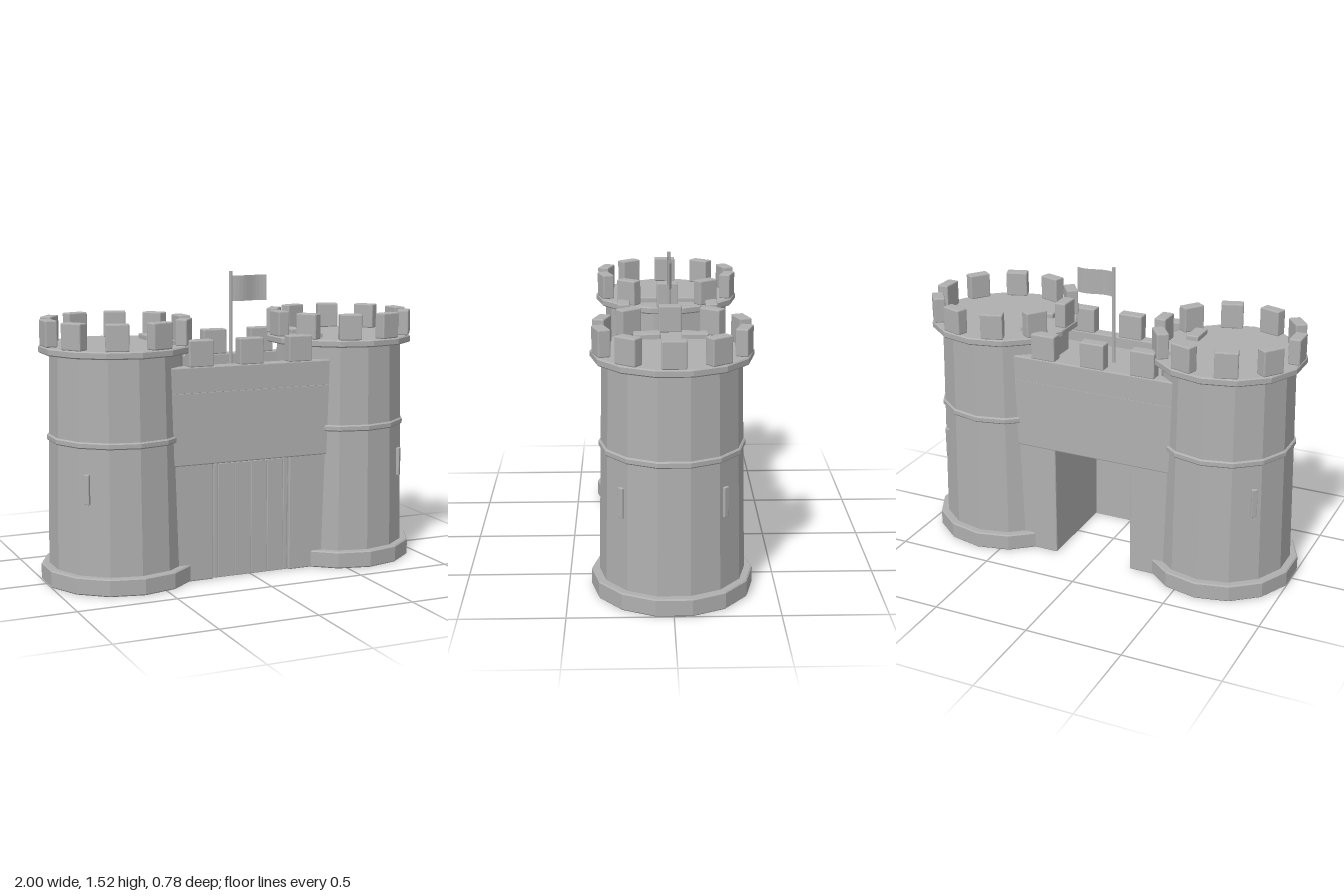
import * as THREE from 'three';
import { RoundedBoxGeometry } from 'three/addons/geometries/RoundedBoxGeometry.js';

const stone = new THREE.MeshStandardMaterial({ color: 0xb0b0b0, flatShading: true, side: THREE.DoubleSide });
stone.name = 'grey stone';

const SIDES = 14;

function add(parent, name, geometry, x = 0, y = 0, z = 0, turn = 0) {
  const mesh = new THREE.Mesh(geometry, stone);
  mesh.name = name;
  mesh.position.set(x, y, z);
  mesh.rotation.y = turn;
  parent.add(mesh);
  return mesh;
}

// box with small bevelled edges
const block = (w, h, d, bevel = 0.006) => new RoundedBoxGeometry(w, h, d, 1, bevel);

// block given by its limits on each axis
function span(parent, name, [x0, x1], [y0, y1], [z0, z1], bevel) {
  return add(parent, name, block(x1 - x0, y1 - y0, z1 - z0, bevel),
    (x0 + x1) / 2, (y0 + y1) / 2, (z0 + z1) / 2);
}

// faceted disc with bevelled rims
function ring(radius, y0, y1, bevel = 0.006) {
  const profile = [
    [0, y0], [radius - bevel, y0], [radius, y0 + bevel],
    [radius, y1 - bevel], [radius - bevel, y1], [0, y1],
  ].map(([r, y]) => new THREE.Vector2(r, y));
  return new THREE.LatheGeometry(profile, SIDES);
}

function makeTower(side) {
  const tower = new THREE.Group();
  tower.name = side > 0 ? 'leftTower' : 'rightTower';
  tower.position.x = side * 0.62;

  add(tower, 'towerBody', new THREE.CylinderGeometry(0.33, 0.353, 1.15, SIDES), 0, 0.575, 0);
  add(tower, 'towerBase', ring(0.39, 0, 0.087));
  add(tower, 'towerBand', ring(0.349, 0.71, 0.742));
  add(tower, 'towerTopSlab', ring(0.383, 1.145, 1.182));

  // crown of merlons
  for (let i = 0; i < 10; i++) {
    const a = (i / 10) * Math.PI * 2 + Math.PI / 2;
    add(tower, 'towerMerlon', block(0.113, 0.13, 0.06),
      Math.sin(a) * 0.345, 1.247, Math.cos(a) * 0.345, a);
  }

  // narrow windows on the outer diagonals
  for (const z of [1, -1]) {
    const a = Math.atan2(side, z);
    add(tower, 'arrowSlit', block(0.03, 0.147, 0.022, 0.003),
      Math.sin(a) * 0.339, 0.513, Math.cos(a) * 0.339, a);
  }
  return tower;
}

function makeGatehouse() {
  const gatehouse = new THREE.Group();
  gatehouse.name = 'gatehouse';

  // piers beside the passage and the wall over it
  span(gatehouse, 'leftPier', [0.21, 0.5], [0, 0.61], [-0.26, 0.26]);
  span(gatehouse, 'rightPier', [-0.5, -0.21], [0, 0.61], [-0.26, 0.26]);
  span(gatehouse, 'upperWall', [-0.5, 0.5], [0.59, 0.955], [-0.265, 0.265]);
  span(gatehouse, 'deck', [-0.45, 0.45], [0.94, 1.02], [-0.21, 0.21]);

  // parapets with merlons, front and back
  for (const z of [1, -1]) {
    add(gatehouse, 'parapet', block(0.9, 0.133, 0.065), 0, 1.012, z * 0.232);
    for (const x of [-0.27, 0, 0.27]) {
      add(gatehouse, 'wallMerlon', block(0.13, 0.132, 0.063), x, 1.142, z * 0.231);
    }
    // end merlons standing within the towers
    for (const x of [-0.405, 0.405]) {
      add(gatehouse, 'endMerlon', block(0.065, 0.132, 0.13), x, 1.142, z * 0.116);
    }
  }
  return gatehouse;
}

// plank gate closing the front of the passage
function makeGate() {
  const gate = new THREE.Group();
  gate.name = 'gate';
  span(gate, 'gateBacking', [-0.21, 0.21], [0, 0.592], [0.225, 0.242], 0.002);
  const edges = [-0.205, -0.18, -0.09, 0, 0.09, 0.18, 0.205];
  for (let i = 0; i < edges.length - 1; i++) {
    span(gate, 'gatePlank', [edges[i] + 0.001, edges[i + 1] - 0.001], [0.002, 0.588], [0.235, 0.252], 0.003);
  }
  return gate;
}

// pole with a gently waving flag
function makeFlag() {
  const group = new THREE.Group();
  group.name = 'flag';
  add(group, 'flagPole', new THREE.CylinderGeometry(0.009, 0.009, 0.523, 8), 0, 1.262, 0);
  const cloth = new THREE.PlaneGeometry(0.195, 0.13, 10, 1);
  const p = cloth.attributes.position;
  for (let i = 0; i < p.count; i++) {
    p.setZ(i, Math.sin((p.getX(i) / 0.195 + 0.5) * Math.PI * 2) * 0.009);
  }
  cloth.computeVertexNormals();
  add(group, 'flagCloth', cloth, 0.103, 1.435, 0);
  return group;
}

export function createModel() {
  const castle = new THREE.Group();
  castle.name = 'castleGate';
  castle.add(makeTower(1), makeTower(-1), makeGatehouse(), makeGate(), makeFlag());
  return castle;
}
